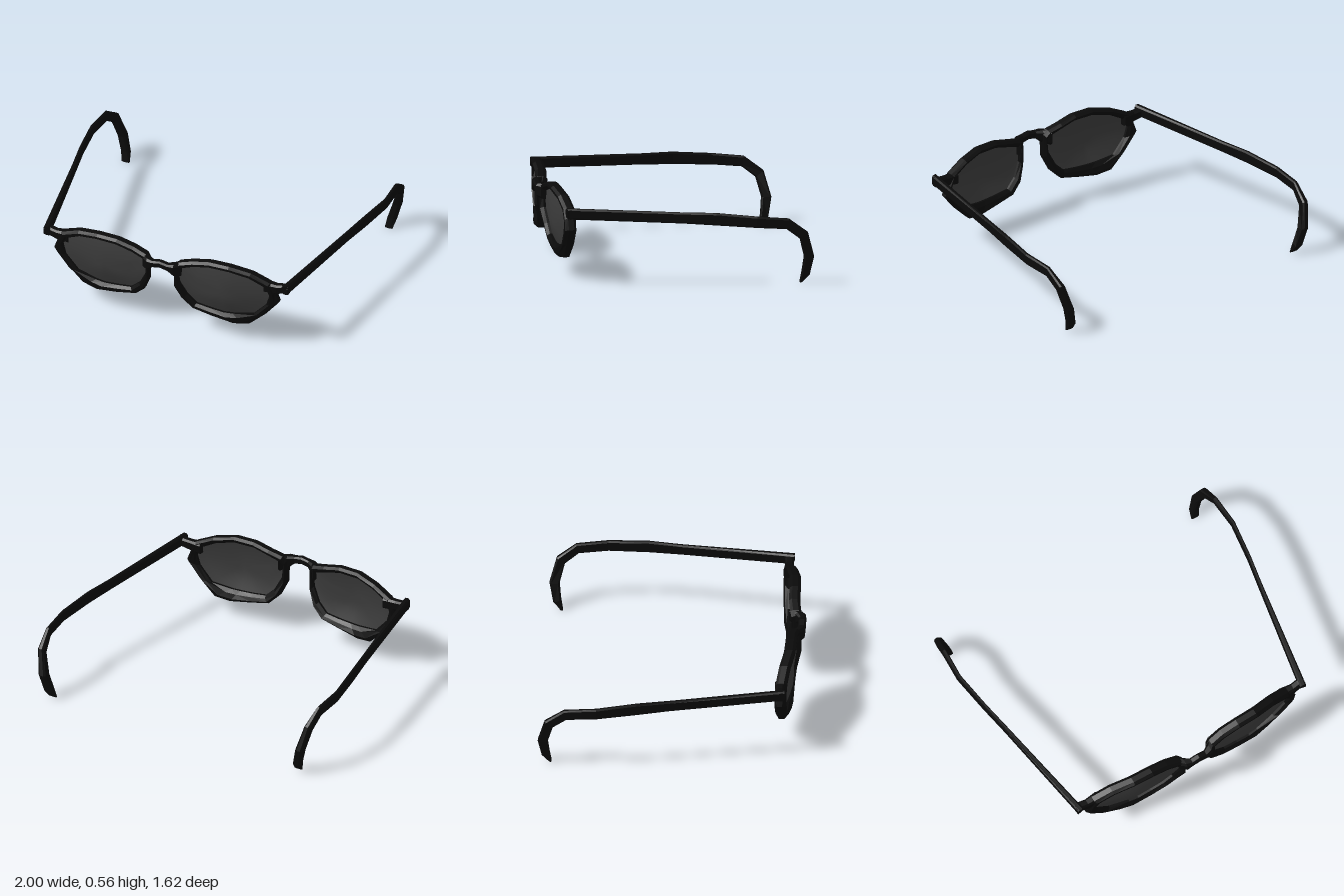
import * as THREE from 'three';

// Skin a list of equal-length rings; outward winding is settled by signed volume.
function loft(rings, closed = false) {
  const n = rings[0].length, m = rings.length, pos = rings.flat(2);
  const tris = [];
  for (let i = 0; i < (closed ? m : m - 1); i++)
    for (let j = 0; j < n; j++) {
      const a = i * n + j, b = i * n + (j + 1) % n;
      const c = ((i + 1) % m) * n + j, d = ((i + 1) % m) * n + (j + 1) % n;
      tris.push([a, b, d], [a, d, c]);
    }
  if (!closed)
    for (let j = 1; j < n - 1; j++) {
      const e = (m - 1) * n;
      tris.push([0, j + 1, j], [e, e + j, e + j + 1]);
    }
  const v = i => new THREE.Vector3().fromArray(pos, i * 3);
  let volume = 0;
  for (const [a, b, c] of tris) volume += v(a).dot(v(b).cross(v(c)));
  const index = tris.flatMap(([a, b, c]) => (volume > 0 ? [a, b, c] : [a, c, b]));
  return finish(pos, index).toNonIndexed();
}

function finish(pos, index) {
  const g = new THREE.BufferGeometry();
  g.setAttribute('position', new THREE.Float32BufferAttribute(pos, 3));
  g.setIndex(index);
  g.computeVertexNormals();
  return g;
}

// Depth of the wrapped front: forward at the nose, swept back at the sides.
const DEPTH = [[0.08, 0.757], [0.14, 0.732], [0.42, 0.732], [0.56, 0.705], [0.75, 0.676]];
function depthAt(x, y) {
  let z = x < DEPTH[0][0] ? DEPTH[0][1] : DEPTH[4][1];
  for (let i = 0; i < 4; i++) {
    const [a, za] = DEPTH[i], [b, zb] = DEPTH[i + 1];
    if (x >= a && x <= b) z = za + (zb - za) * (x - a) / (b - a);
  }
  return z - 0.025 * Math.max(0, (0.3 - y) / 0.18);
}

// Rim outline: outer x, y, inner x, y
const RIM = [
  [0.085, 0.48, 0.105, 0.44], [0.11, 0.51, 0.12, 0.465], [0.2, 0.535, 0.2, 0.492],
  [0.31, 0.56, 0.31, 0.52], [0.44, 0.56, 0.45, 0.52], [0.58, 0.53, 0.57, 0.49],
  [0.7, 0.475, 0.665, 0.44], [0.73, 0.41, 0.695, 0.38], [0.755, 0.34, 0.675, 0.31],
  [0.67, 0.235, 0.59, 0.215], [0.56, 0.13, 0.46, 0.195], [0.46, 0.115, 0.4, 0.193],
  [0.32, 0.14, 0.31, 0.2], [0.19, 0.17, 0.22, 0.212], [0.125, 0.235, 0.16, 0.27],
  [0.085, 0.33, 0.115, 0.36],
];

// Temple stations: top y, z, bottom y, z, outer x, inner x
const TEMPLE = [
  [0.487, 0.71, 0.42, 0.7, 0.82, 0.78], [0.465, 0, 0.397, 0, 0.93, 0.905],
  [0.463, -0.2, 0.386, -0.2, 0.965, 0.942], [0.44, -0.45, 0.37, -0.45, 1, 0.975],
  [0.42, -0.65, 0.355, -0.635, 0.99, 0.962], [0.33, -0.77, 0.29, -0.72, 0.98, 0.94],
  [0.17, -0.814, 0.17, -0.752, 0.95, 0.9], [0.05, -0.79, 0.07, -0.742, 0.922, 0.87],
  [0.003, -0.745, 0, -0.73, 0.91, 0.86],
];

// Bar running along x, stations: x, low y, high y, back z, front z
const bar = (stations, s) => loft(stations.map(([x, y0, y1, z0, z1]) => {
  const c = Math.min(y1 - y0, z1 - z0) * 0.22;
  return [
    [y0, z0 + c], [y0, z1 - c], [y0 + c, z1], [y1 - c, z1],
    [y1, z1 - c], [y1, z0 + c], [y1 - c, z0], [y0 + c, z0],
  ].map(([y, z]) => [x * s, y, z]);
}));

function rim(s) {
  return loft(RIM.map(([ox, oy, ix, iy]) =>
    // fraction inward, depth offset
    [[0, -0.018], [0, 0.016], [0.3, 0.034], [0.7, 0.034], [1, 0.015], [1, -0.015], [0.7, -0.03], [0.3, -0.036]]
      .map(([t, dz]) => {
        const x = ox + (ix - ox) * t, y = oy + (iy - oy) * t;
        return [x * s, y, depthAt(x, y) + dz];
      })), true);
}

// Gently bulging lens made of concentric rings
function lens(s) {
  const cx = 0.4, cy = 0.36, n = RIM.length, steps = 5;
  const pos = [cx * s, cy, depthAt(cx, cy) + 0.018], index = [];
  for (let k = 1; k <= steps; k++)
    for (const [, , ix, iy] of RIM) {
      const r = 1.02 * k / steps, x = cx + (ix - cx) * r, y = cy + (iy - cy) * r;
      pos.push(x * s, y, depthAt(x, y) + 0.018 * (1 - r * r));
    }
  for (let j = 0; j < n; j++) {
    const q = (j + 1) % n;
    index.push(0, 1 + q, 1 + j);
    for (let k = 0; k < steps - 1; k++) {
      const a = 1 + k * n + j, b = 1 + k * n + q;
      index.push(a, b, b + n, a, b + n, a + n);
    }
  }
  // keep the front facing +z on both sides
  if (s < 0) index.reverse();
  return finish(pos, index);
}

function temple(s) {
  return loft(TEMPLE.map(([ty, tz, by, bz, xo, xi]) =>
    // across from outer to inner, down from top to bottom
    [[0, 0.15], [0, 0.85], [0.25, 1], [0.75, 1], [1, 0.85], [1, 0.15], [0.75, 0], [0.25, 0]]
      .map(([u, v]) => [(xo + (xi - xo) * u) * s, ty + (by - ty) * v, tz + (bz - tz) * v])));
}

export function createModel() {
  const black = new THREE.MeshStandardMaterial({ color: 0x0a0a0a, flatShading: true });
  black.name = 'frame black';
  const grey = new THREE.MeshStandardMaterial({ color: 0x3a3a3a, side: THREE.DoubleSide });
  grey.name = 'lens grey';

  const model = new THREE.Group();
  model.name = 'sunglasses';
  const add = (name, geometry, material) => {
    const mesh = new THREE.Mesh(geometry, material);
    mesh.name = name;
    model.add(mesh);
  };

  for (const [side, s] of [['left', 1], ['right', -1]]) {
    add(side + 'Rim', rim(s), black);
    add(side + 'Lens', lens(s), grey);
    add(side + 'Temple', temple(s), black);
    // End piece joining rim and temple
    add(side + 'Hinge', bar([
      [0.66, 0.4, 0.475, 0.645, 0.71], [0.74, 0.405, 0.47, 0.655, 0.705],
      [0.78, 0.415, 0.475, 0.65, 0.7], [0.82, 0.42, 0.482, 0.65, 0.71],
    ], s), black);
  }

  // Arched bridge standing slightly forward
  add('bridge', bar([
    [-0.125, 0.41, 0.505, 0.7, 0.775], [-0.09, 0.42, 0.505, 0.74, 0.805], [-0.05, 0.455, 0.502, 0.765, 0.81],
    [0, 0.465, 0.512, 0.765, 0.81],
    [0.05, 0.455, 0.502, 0.765, 0.81], [0.09, 0.42, 0.505, 0.74, 0.805], [0.125, 0.41, 0.505, 0.7, 0.775],
  ], 1), black);

  return model;
}
